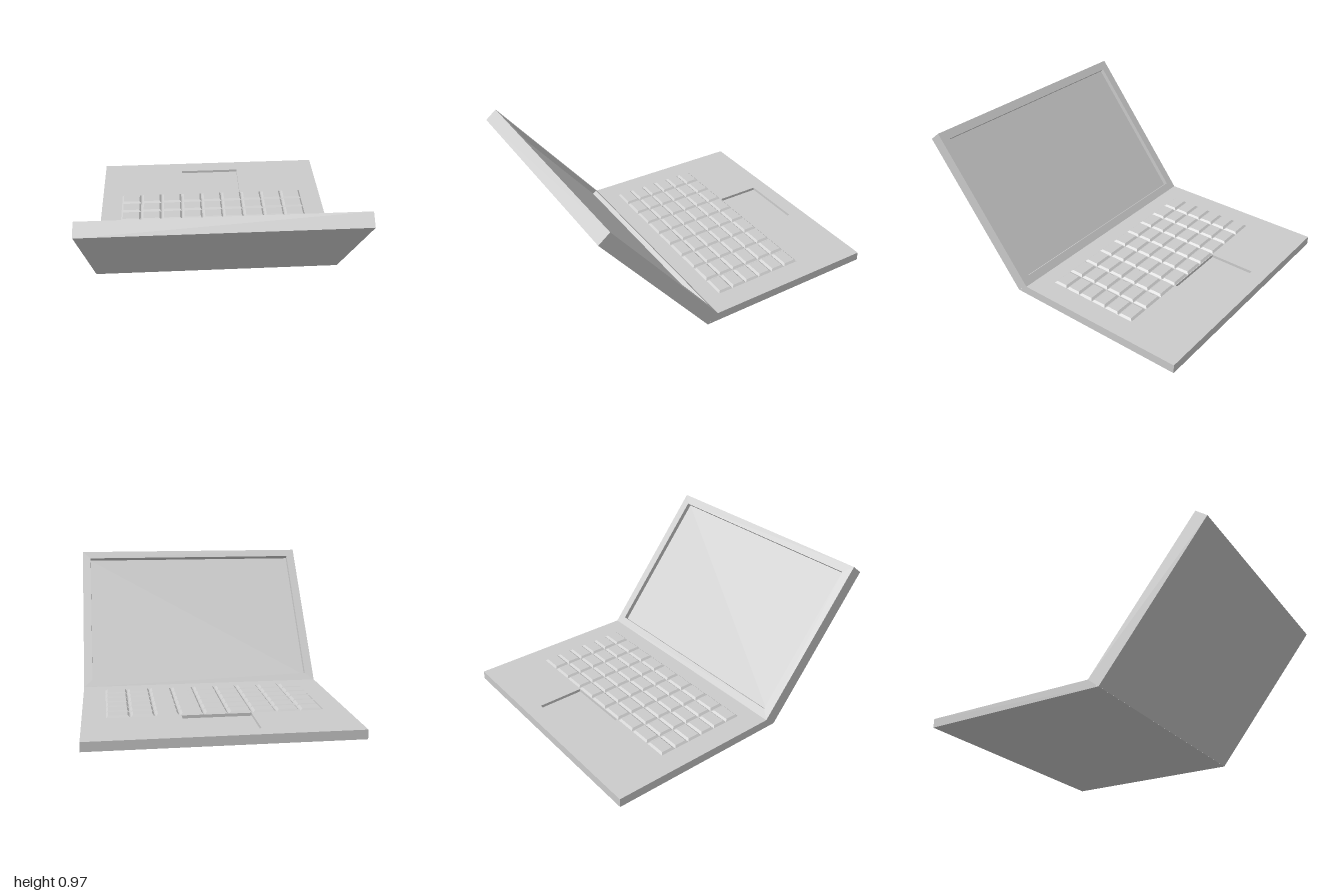
import * as THREE from 'three';
import { mergeGeometries } from 'three/addons/utils/BufferGeometryUtils.js';

const WIDTH = 1.7;
const material = new THREE.MeshStandardMaterial({ color: 0xcccccc, flatShading: true });

// Box geometry without the listed faces (order: +x, -x, +y, -y, +z, -z), optionally inside out.
function openBox(x0, x1, y0, y1, z0, z1, dropped, inward = false) {
  const geometry = new THREE.BoxGeometry(x1 - x0, y1 - y0, z1 - z0);
  geometry.translate((x0 + x1) / 2, (y0 + y1) / 2, (z0 + z1) / 2);
  let index = [...geometry.index.array].filter((_, i) => !dropped.includes(Math.floor(i / 6)));
  if (inward) index.reverse();
  geometry.setIndex(index);
  geometry.clearGroups();
  geometry.computeVertexNormals();
  return geometry;
}

// Panel lying in xy with its face at z = 0, a pocket sunk into the face and its hinge edge at y = 0.
function pocketPanel(length, thickness, halfPocket, y0, y1, depth) {
  const half = WIDTH / 2;
  const rect = (T, w, a, b) => {
    const path = new T();
    path.moveTo(-w, a).lineTo(w, a).lineTo(w, b).lineTo(-w, b).closePath();
    return path;
  };
  const face = rect(THREE.Shape, half, 0, length);
  face.holes.push(rect(THREE.Path, halfPocket, y0, y1));
  return mergeGeometries([
    openBox(-half, half, 0, length, -thickness, 0, [3, 4]),
    openBox(-halfPocket, halfPocket, y0, y1, -depth, 0, [4], true),
    new THREE.ShapeGeometry(face),
  ]);
}

// Key cap: low box whose top is inset on all four sides.
function keyGeometry(w, d, h, inset) {
  const geometry = openBox(-w / 2, w / 2, 0, h, -d / 2, d / 2, [3]);
  const p = geometry.attributes.position;
  for (let i = 0; i < p.count; i++) {
    if (p.getY(i) < h / 2) continue;
    p.setX(i, p.getX(i) - Math.sign(p.getX(i)) * inset);
    p.setZ(i, p.getZ(i) - Math.sign(p.getZ(i)) * inset);
  }
  geometry.computeVertexNormals();
  return geometry;
}

export function createModel() {
  const model = new THREE.Group();
  model.name = 'laptop';
  const add = (name, geometry, parent = model) => {
    const mesh = new THREE.Mesh(geometry, material);
    mesh.name = name;
    parent.add(mesh);
    return mesh;
  };

  // Base with the touchpad pocket; the lower hinge edge runs on to meet the slanted lid
  const baseGeometry = pocketPanel(1.2, 0.06, 0.225, 0.772, 1.09, 0.02);
  const p = baseGeometry.attributes.position;
  for (let i = 0; i < p.count; i++) {
    if (p.getY(i) < 0.001 && p.getZ(i) < -0.05) p.setY(i, -0.075);
  }
  baseGeometry.computeVertexNormals();
  const base = add('base', baseGeometry);
  base.position.set(0, 0.06, 0.2);
  base.rotation.x = -Math.PI / 2;

  // Lid with the sunken screen, leaning back from the hinge line
  const lid = add('lid', pocketPanel(1.1635, 0.096, 0.79, 0.056, 1.103, 0.033));
  lid.position.set(0, 0.06, 0.2);
  lid.rotation.set(Math.atan2(0.725, 0.91), Math.PI, 0);

  // Keyboard
  const keyboard = new THREE.Group();
  keyboard.name = 'keyboard';
  model.add(keyboard);
  const key = keyGeometry(0.148, 0.106, 0.012, 0.013);
  for (let row = 0; row < 6; row++) {
    for (let col = 0; col < 9; col++) {
      add('key', key, keyboard).position.set((col - 4) * 0.156, 0.06, -0.242 + (row - 2.5) * 0.109);
    }
  }
  return model;
}
